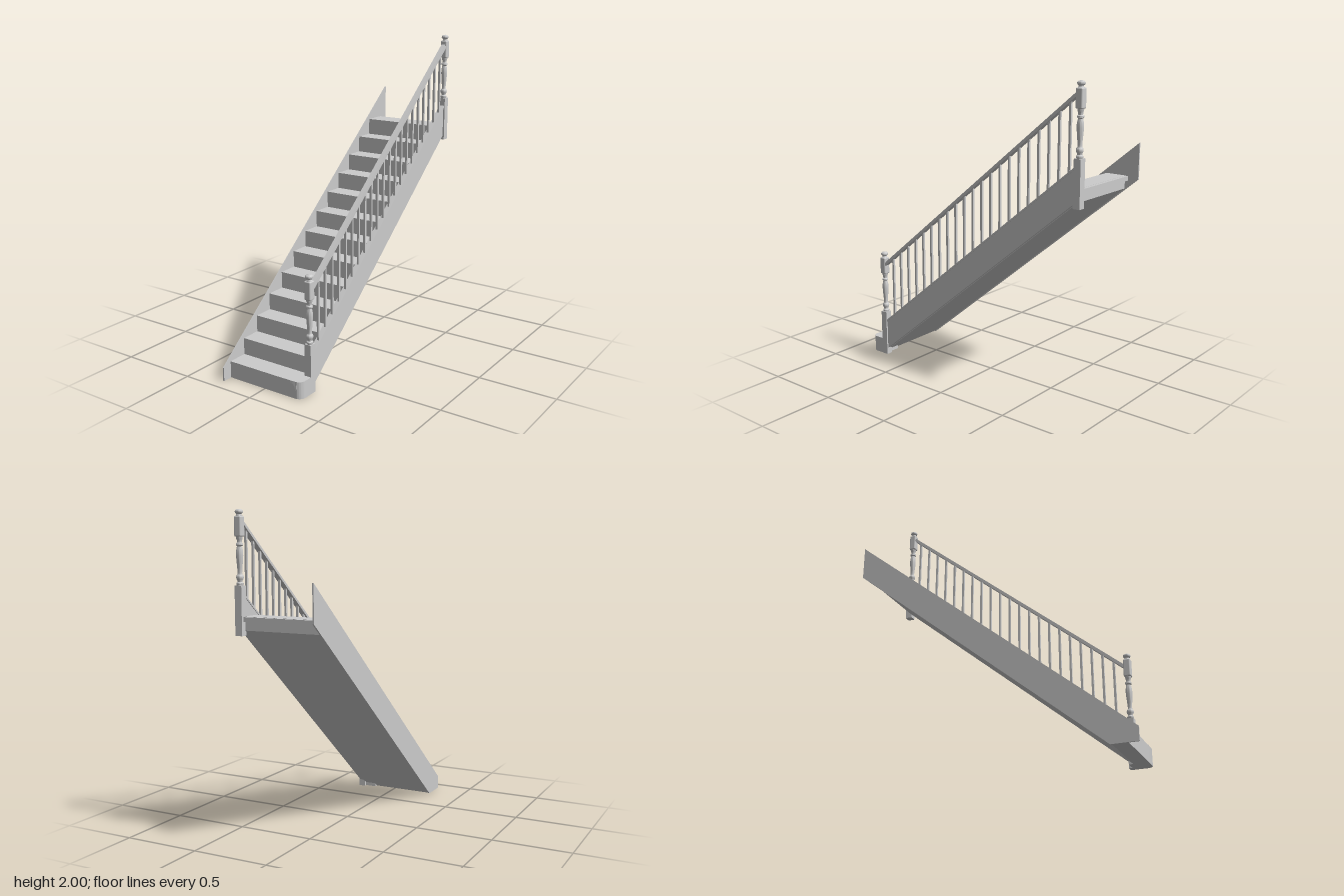
import * as THREE from 'three';
import { RoundedBoxGeometry } from 'three/addons/geometries/RoundedBoxGeometry.js';
import { toCreasedNormals } from 'three/addons/utils/BufferGeometryUtils.js';

const SLOPE = 0.823, GOING = 0.1297, RISE = 0.107, STEPS = 13;
const FRONT = 0.857, RAIL_X = 0.25;
const NEWEL_FRONT = 0.737, NEWEL_BACK = -0.842;

// Height of a sloping line at depth z, given its height at z = 0
const pitch = (base, z) => base - SLOPE * z;

export function createModel() {
  const group = new THREE.Group();
  const mat = new THREE.MeshStandardMaterial({ color: 0xcccccc });

  function add(name, geometry, x = 0, y = 0, z = 0, parent = group) {
    const mesh = new THREE.Mesh(geometry, mat);
    mesh.name = name;
    mesh.position.set(x, y, z);
    parent.add(mesh);
    return mesh;
  }

  // Extrude a side outline of [z, y] points between two x positions
  function sidePanel(name, points, x0, x1) {
    const shape = new THREE.Shape(points.map(([z, y]) => new THREE.Vector2(-z, y)));
    const geo = new THREE.ExtrudeGeometry(shape, { depth: x1 - x0, bevelEnabled: false });
    geo.rotateY(Math.PI / 2);
    return add(name, geo, x0);
  }

  // Sloping bar between two depths, lying between two pitch lines
  function slopingBar(name, z0, z1, low, high, x0, x1) {
    return sidePanel(name, [
      [z0, pitch(low, z0)], [z1, pitch(low, z1)],
      [z1, pitch(high, z1)], [z0, pitch(high, z0)],
    ], x0, x1);
  }

  // Flight of steps with a flat sloping soffit
  const flight = [[FRONT, 0]];
  for (let i = 0; i < STEPS; i++) {
    const z = FRONT - i * GOING;
    flight.push([z, (i + 1) * RISE], [z - GOING, (i + 1) * RISE]);
  }
  const backZ = FRONT - STEPS * GOING;
  flight.push([backZ, pitch(0.628, backZ)], [0.628 / SLOPE, 0]);
  sidePanel('steps', flight, -0.27, 0.237);

  // Lip at the back of the top tread
  add('topLip', new THREE.BoxGeometry(0.5, 0.028, 0.022), -0.018, 1.376, backZ - 0.01);

  // Bottom step end, wrapping round the newel with a rounded corner
  const end = new THREE.Shape();
  end.moveTo(0.15, -0.735);
  end.lineTo(0.15, -FRONT);
  end.lineTo(0.23, -FRONT);
  end.absarc(0.23, -FRONT + 0.042, 0.042, -Math.PI / 2, 0, false);
  end.lineTo(0.272, -0.735);
  const endGeo = new THREE.ExtrudeGeometry(end, { depth: RISE + 0.001, bevelEnabled: false, curveSegments: 10 });
  endGeo.rotateX(-Math.PI / 2);
  add('bottomStepEnd', toCreasedNormals(endGeo, 0.6));

  // Wall stringer runs past both ends of the flight
  sidePanel('wallStringer', [
    [0.92, 0], [0.62 / SLOPE, 0], [-0.92, pitch(0.62, -0.92)],
    [-0.92, pitch(0.8425, -0.92)], [0.92, pitch(0.8425, 0.92)],
  ], -0.277, -0.268);

  // Outer stringer and the capping that carries the balusters
  slopingBar('outerStringer', NEWEL_FRONT, NEWEL_BACK, 0.633, 0.833, 0.237, 0.263);
  slopingBar('stringerCapping', NEWEL_FRONT, NEWEL_BACK, 0.83, 0.8435, 0.232, 0.268);

  // Handrail with a narrower top moulding
  slopingBar('handrail', NEWEL_FRONT, NEWEL_BACK, 1.235, 1.253, 0.231, 0.269);
  slopingBar('handrailTop', NEWEL_FRONT, NEWEL_BACK, 1.25, 1.261, 0.236, 0.264);

  // Square balusters, cut to the pitch at both ends
  for (let i = 0; i < 21; i++) {
    const z = 0.65 - i * 0.0713;
    slopingBar('baluster', z + 0.007, z - 0.007, 0.838, 1.24, RAIL_X - 0.007, RAIL_X + 0.007);
  }

  // Turned shaft and cap profiles as [radius, height]
  const lathe = (pts) => toCreasedNormals(
    new THREE.LatheGeometry(pts.map(([r, y]) => new THREE.Vector2(r, y)), 20), 0.7);
  const shaft = lathe([
    [0.017, 0.305], [0.021, 0.316], [0.021, 0.324], [0.015, 0.331], [0.015, 0.338],
    [0.020, 0.346], [0.022, 0.357], [0.020, 0.367], [0.014, 0.373], [0.013, 0.385],
    [0.015, 0.41], [0.018, 0.445], [0.0205, 0.48], [0.020, 0.505], [0.016, 0.525],
    [0.014, 0.532], [0.020, 0.538], [0.020, 0.548], [0.014, 0.553], [0.014, 0.565],
    [0.018, 0.575], [0.020, 0.592],
  ]);
  const cap = lathe([
    [0.018, 0.697], [0.019, 0.703], [0.015, 0.708], [0.015, 0.713], [0.021, 0.718],
    [0.0235, 0.724], [0.0225, 0.732], [0.016, 0.738], [0, 0.741],
  ]);

  function newel(name, base, z, foot) {
    const post = new THREE.Group();
    post.name = name;
    post.position.set(RAIL_X, base, z);
    group.add(post);
    add('newelBase', new THREE.BoxGeometry(0.046, 0.31 - foot, 0.046), 0, (0.31 + foot) / 2, 0, post);
    add('turnedShaft', shaft, 0, 0, 0, post);
    add('newelBlock', new RoundedBoxGeometry(0.046, 0.116, 0.046, 2, 0.008), 0, 0.644, 0, post);
    add('newelCap', cap, 0, 0, 0, post);
  }
  newel('bottomNewel', 0, NEWEL_FRONT, 0);
  newel('topNewel', 1.259, NEWEL_BACK, 0.022);

  return group;
}
